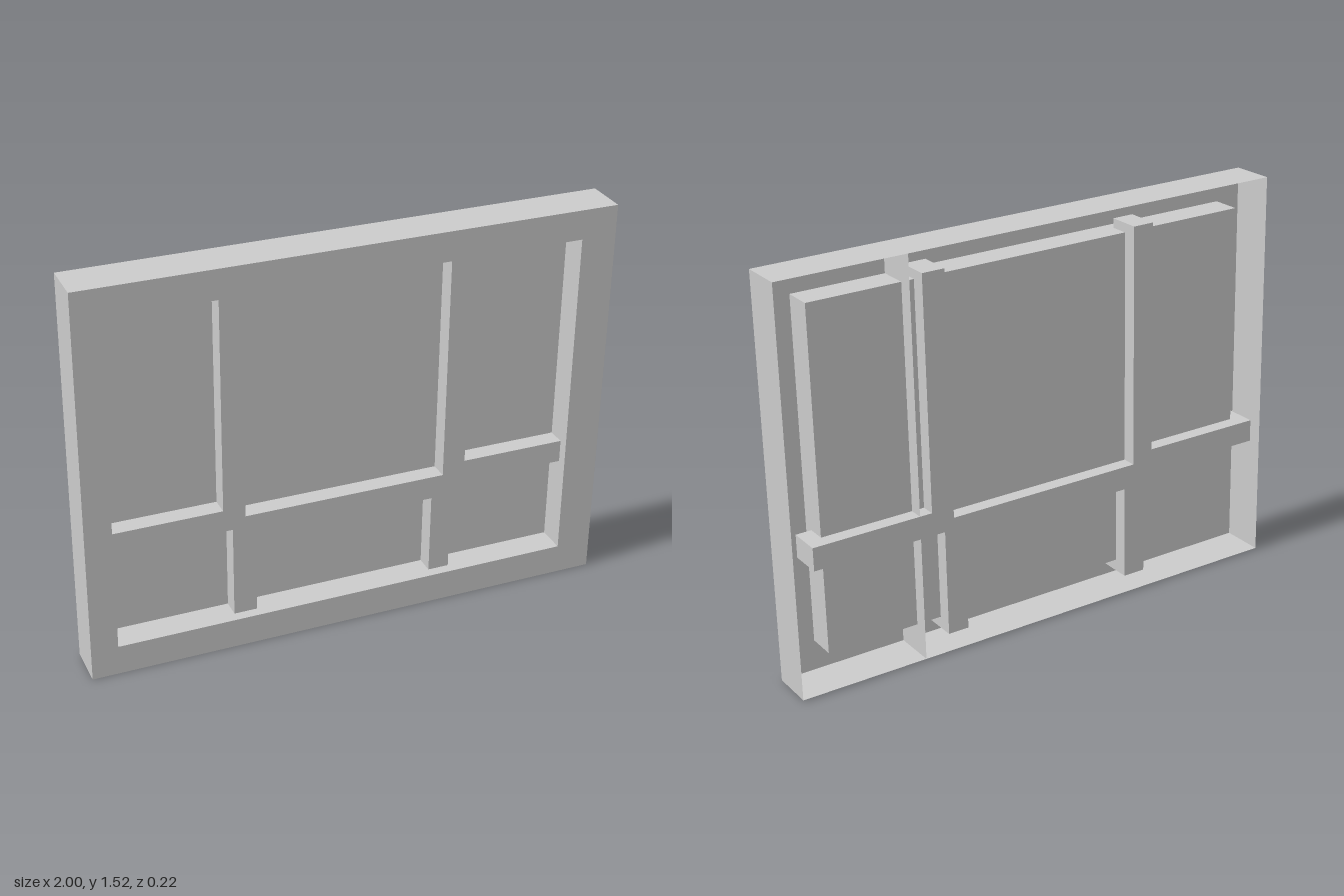
import * as THREE from 'three';

const H = 1.512, DEPTH = 0.165, PANE = 0.11, BAR_FRONT = 0.04;
const OPEN = { x0: -0.9, x1: 0.865, y0: 0.115, y1: 1.4 };

export function createModel() {
  const root = new THREE.Group();
  const panel = new THREE.Group();
  panel.name = 'windowPanel';
  // the whole window leans slightly forward
  panel.position.z = 0.058;
  panel.rotation.x = 0.0335;
  root.add(panel);

  const solid = new THREE.MeshStandardMaterial({ color: 0xcccccc });
  const sheet = new THREE.MeshStandardMaterial({ color: 0xcccccc, side: THREE.DoubleSide });

  const add = (name, geometry, material, x, y, z, parent = panel) => {
    const mesh = new THREE.Mesh(geometry, material);
    mesh.name = name;
    mesh.position.set(x, y, z);
    parent.add(mesh);
    return mesh;
  };

  // four thin walls running back from the front around a rectangle
  const walls = (name, { x0, x1, y0, y1 }, depth) => {
    const group = new THREE.Group();
    group.name = name;
    const cx = (x0 + x1) / 2, cy = (y0 + y1) / 2;
    for (const x of [x0, x1])
      add('sideWall', new THREE.PlaneGeometry(depth, y1 - y0), sheet, x, cy, -depth / 2, group)
        .rotation.y = x === x1 ? Math.PI / 2 : -Math.PI / 2;
    for (const y of [y0, y1])
      add('levelWall', new THREE.PlaneGeometry(x1 - x0, depth), sheet, cx, y, -depth / 2, group)
        .rotation.x = y === y1 ? -Math.PI / 2 : Math.PI / 2;
    panel.add(group);
  };

  // front face of the frame, open in the middle
  const rect = (path, { x0, x1, y0, y1 }) =>
    path.moveTo(x0, y0).lineTo(x1, y0).lineTo(x1, y1).lineTo(x0, y1).closePath();
  const outer = { x0: -1, x1: 1, y0: 0, y1: H };
  const face = rect(new THREE.Shape(), outer);
  face.holes.push(rect(new THREE.Path(), OPEN));
  add('frameFace', new THREE.ShapeGeometry(face), sheet, 0, 0, 0);
  walls('frameOuterWalls', outer, DEPTH);
  walls('frameInnerWalls', OPEN, PANE);

  // glass
  add('glassPane', new THREE.PlaneGeometry(OPEN.x1 - OPEN.x0, OPEN.y1 - OPEN.y0), sheet,
    (OPEN.x0 + OPEN.x1) / 2, (OPEN.y0 + OPEN.y1) / 2, -PANE);

  // glazing bars: stepped uprights and crossbars that run on behind the frame
  const bar = (name, x0, x1, y0, y1) =>
    add(name, new THREE.BoxGeometry(x1 - x0, y1 - y0, DEPTH - BAR_FRONT), solid,
      (x0 + x1) / 2, (y0 + y1) / 2, -(DEPTH + BAR_FRONT) / 2);
  bar('upperRightUpright', -0.483, -0.4, 0.475, 1.435);
  bar('upperLeftUpright', 0.375, 0.462, 0.475, 1.435);
  bar('lowerRightUpright', -0.448, -0.36, 0.07, 0.52);
  bar('lowerLeftUpright', 0.332, 0.413, 0.07, 0.52);
  bar('rightCrossbar', -0.955, -0.4, 0.475, 0.56);
  bar('middleCrossbar', -0.4, 0.375, 0.43, 0.52);
  bar('leftCrossbar', 0.375, 0.925, 0.475, 0.562);

  // thin upright rib at the back, cut away in front of the glass
  const rib = new THREE.Shape();
  [[0, 0], [DEPTH, 0], [DEPTH, H], [0, H], [0, OPEN.y1], [PANE, OPEN.y1], [PANE, OPEN.y0], [0, OPEN.y0]]
    .forEach(([d, y], i) => (i ? rib.lineTo(d, y) : rib.moveTo(d, y)));
  add('backRib', new THREE.ShapeGeometry(rib), sheet, 0.51, 0, 0).rotation.y = Math.PI / 2;

  return root;
}
